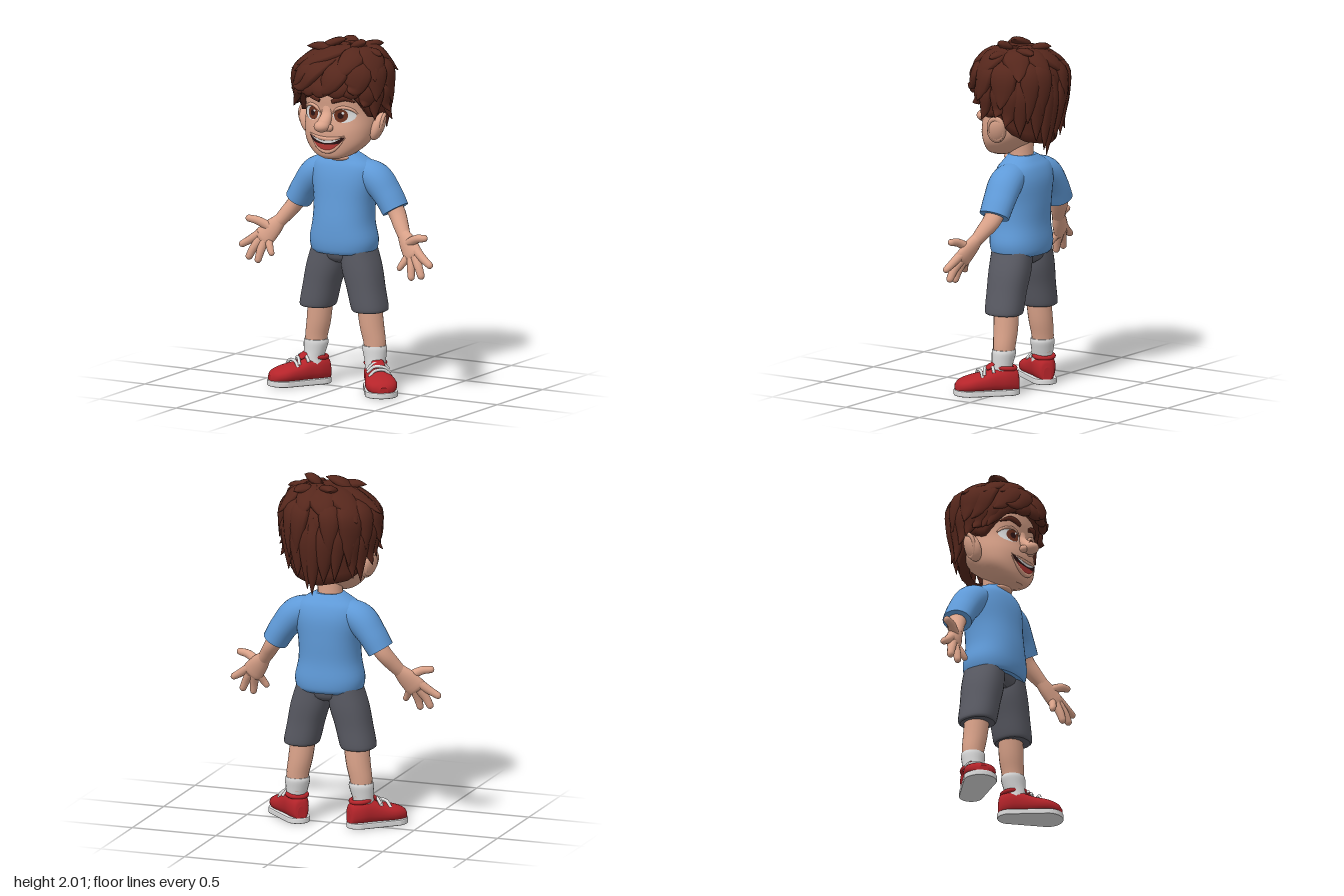
import * as THREE from 'three';

const V = (x, y, z) => new THREE.Vector3(x, y, z);
const mat = (name, color) => Object.assign(new THREE.MeshStandardMaterial({ color }), { name });
const M = {
  skin: mat('skin', 0xdba38a), hair: mat('hair', 0x56271c), shirt: mat('shirt blue', 0x5f9ad8),
  shorts: mat('shorts grey', 0x595a63), red: mat('shoe red', 0xb5242a), white: mat('white', 0xdedede),
  iris: mat('iris brown', 0x6b3220), dark: mat('dark', 0x2a1212), tongue: mat('tongue', 0xb83a36),
};
const X = V(1, 0, 0), Y = V(0, 1, 0), Z = V(0, 0, 1);
let seed = 7;
const rnd = (a, b) => a + (b - a) * ((seed = (seed * 16807) % 2147483647) / 2147483647);

// Skin over rows of points; each row is a closed loop
function grid(rows, caps) {
  const n = rows[0].length, pos = [], idx = [];
  const put = (v) => pos.push(v.x, v.y, v.z) / 3 - 1;
  rows.forEach((r) => r.forEach(put));
  for (let j = 0; j < rows.length - 1; j++) for (let i = 0; i < n; i++) {
    const a = j * n + i, b = j * n + (i + 1) % n;
    idx.push(a, a + n, b, b, a + n, b + n);
  }
  if (caps) [rows[0], rows[rows.length - 1]].forEach((row, end) => {
    const mid = row.reduce((s, v) => s.add(v), V(0, 0, 0)).divideScalar(n);
    const c = put(mid), f = row.map(put);
    f.forEach((a, i) => (end ? idx.push(c, f[(i + 1) % n], a) : idx.push(c, a, f[(i + 1) % n])));
  });
  const g = new THREE.BufferGeometry();
  g.setAttribute('position', new THREE.Float32BufferAttribute(pos, 3));
  g.setIndex(idx);
  g.computeVertexNormals();
  return g;
}

// Smooth interpolation of [x, y, z, radiusA, radiusB] stations
function stations(pts) {
  const c = new THREE.CatmullRomCurve3(pts.map((p) => V(p[0], p[1], p[2])), false, 'catmullrom');
  const r = new THREE.CatmullRomCurve3(pts.map((p) => V(p[3], p[4] ?? p[3], 0)), false, 'catmullrom');
  return (u) => ({ c: c.getPoint(u), r: r.getPoint(u), t: c.getTangent(u) });
}

// Elliptical cross-sections swept along stations, square to the path or to a fixed axis
function loft(pts, { axis, ref = Z, seg = 18, p = 2, round = false, steps = 4 } = {}) {
  const at = stations(pts), N = (pts.length - 1) * steps, rows = [];
  const pw = (v) => Math.sign(v) * Math.abs(v) ** (2 / p);
  const ring = ({ c, r, t }, k = 1, ahead = 0) => {
    const dir = axis ?? t;
    const side = dir.clone().cross(ref).normalize(), up = side.clone().cross(dir).normalize();
    rows.push(Array.from({ length: seg }, (_, i) => {
      const a = i / seg * Math.PI * 2;
      return c.clone().addScaledVector(dir, ahead).addScaledVector(side, pw(Math.cos(a)) * r.x * k)
        .addScaledVector(up, pw(Math.sin(a)) * r.y * k);
    }));
  };
  for (let i = 0; i <= N; i++) ring(at(i / N));
  if (round) for (const a of [0.5, 1, 1.4]) ring(at(1), Math.cos(a), Math.sin(a) * at(1).r.y);
  return grid(rows, true);
}

// Head cross-sections and the depth of the face at a point
const HEAD = [[0, 1.333, 0.125, 0.05, 0.045], [0, 1.358, 0.1, 0.115, 0.09], [0, 1.42, 0.06, 0.18, 0.14],
  [0, 1.5, 0.02, 0.206, 0.185], [0, 1.6, 0, 0.207, 0.19], [0, 1.7, 0, 0.21, 0.2], [0, 1.8, 0, 0.195, 0.19], [0, 1.88, 0, 0.13, 0.13]];
const headAt = stations(HEAD);
function faceZ(x, y) {
  let lo = 0, hi = 1;
  for (let i = 0; i < 24; i++) { const m = (lo + hi) / 2; if (headAt(m).c.y < y) lo = m; else hi = m; }
  const { c, r } = headAt(lo);
  return c.z + r.y * Math.max(0, 1 - Math.abs(x / r.x) ** 2.3) ** (1 / 2.3);
}

// Thin plate lying on the face between a lower and an upper edge
function plate(cx, hw, low, high, off) {
  const g = new THREE.PlaneGeometry(2, 1, 20, 6), a = g.attributes.position;
  for (let i = 0; i < a.count; i++) {
    const u = a.getX(i) * 0.99, v = a.getY(i) + 0.5;
    const x = cx + u * hw, y = low(u) + (high(u) - low(u)) * v;
    a.setXYZ(i, x, y, faceZ(x, y) + off);
  }
  g.computeVertexNormals();
  return g;
}
const oval = (cx, cy, rx, ry, off) =>
  plate(cx, rx, (u) => cy - ry * Math.sqrt(1 - u * u), (u) => cy + ry * Math.sqrt(1 - u * u), off);

// Hair volume: angle f from the front, t from crown to hairline, k pushes outward
const HAIRLINE = [[0, 1.745], [35, 1.72], [52, 1.65], [70, 1.57], [88, 1.6], [110, 1.5], [135, 1.45], [181, 1.42]];
function hairPoint(f, t, k = 1) {
  f = Math.atan2(Math.sin(f), Math.cos(f));
  const d = Math.abs(f) * 180 / Math.PI, i = HAIRLINE.findIndex((h) => h[0] > d);
  const [a, b] = [HAIRLINE[i - 1], HAIRLINE[i]];
  const end = a[1] + (b[1] - a[1]) * (d - a[0]) / (b[0] - a[0]);
  let r = 1, y, shift = 0;
  if (t < 0.6) {
    const q = t / 0.6 * Math.PI / 2;
    r = Math.sin(q) ** (2 / 2.15);
    y = 1.765 + 0.195 * Math.cos(q) ** (2 / 2.15);
    shift = 0.11 * (1 - r);
  } else {
    y = 1.765 + (end - 1.765) * (t - 0.6) / 0.4;
    r = 1 - 0.2 * (1.765 - y) / 0.34;
  }
  return V(Math.sin(f) * 0.268 * r * k + shift, y, Math.cos(f) * 0.247 * r * k);
}

export function createModel() {
  const model = new THREE.Group();
  const add = (name, g, m, parent = model) => {
    const mesh = new THREE.Mesh(g, m);
    mesh.name = name;
    parent.add(mesh);
    return mesh;
  };
  const group = (name) => { const g = new THREE.Group(); g.name = name; model.add(g); return g; };
  const ball = (name, m, c, r, parent) => {
    const b = add(name, new THREE.SphereGeometry(1, 24, 16), m, parent);
    b.position.set(...c); b.scale.set(...r);
    return b;
  };

  // Head, neck and nose
  const head = group('head');
  add('skull', loft(HEAD, { axis: Y, seg: 44, p: 2.3, steps: 5 }), M.skin, head);
  add('neck', loft([[0, 1.27, -0.01, 0.085, 0.072], [0, 1.34, -0.008, 0.072, 0.066], [0, 1.45, 0, 0.08, 0.075]], { axis: Y }), M.skin, head);
  ball('neckline', M.skin, [0, 1.325, 0.045], [0.068, 0.022, 0.05], head);
  ball('noseTip', M.skin, [0, 1.532, 0.243], [0.044, 0.034, 0.047], head);
  add('noseBridge', loft([[0, 1.65, 0.17, 0.035, 0.02], [0, 1.59, 0.185, 0.034, 0.025], [0, 1.54, 0.225, 0.04, 0.036]]), M.skin, head);

  // Mouth
  const top = (u) => 1.45 + 0.022 * u * u, low = (u) => 1.47 - 0.085 * (1 - u * u);
  add('mouth', plate(0.005, 0.112, low, top, 0.005), M.dark, head);
  add('tongue', plate(0.005, 0.085, (u) => low(u * 0.76) + 0.004, (u) => 1.423 + 0.012 * u * u, 0.009), M.tongue, head);
  add('teeth', plate(0.005, 0.098, (u) => top(u * 0.87) - 0.019 * (1 - u * u), (u) => top(u * 0.87) - 0.002, 0.009), M.white, head);
  const lip = (name, edge, r) => add(name, loft([-1, -0.5, 0, 0.5, 1].map((u) => {
    const x = 0.005 + u * 0.112, y = edge(u);
    return [x, y, faceZ(x, y) + 0.002, r * (1.15 - u * u)];
  }), { seg: 10 }), M.skin, head);
  lip('lowerLip', (u) => low(u) - 0.004, 0.011);
  lip('upperLip', (u) => top(u) + 0.005, 0.01);

  for (const s of [1, -1]) {
    const side = s > 0 ? 'left' : 'right';
    // Eyes, brows, nostrils and ears
    add(side + 'EyeWhite', oval(s * 0.104, 1.592, 0.06, 0.04, 0.004), M.white, head);
    add(side + 'Iris', oval(s * 0.09, 1.592, 0.038, 0.037, 0.007), M.iris, head);
    add(side + 'Pupil', oval(s * 0.09, 1.592, 0.017, 0.018, 0.01), M.dark, head);
    add(side + 'EyeGlint', oval(s * 0.09 + 0.014, 1.607, 0.007, 0.007, 0.013), M.white, head);
    const onFace = (list, off) => list.map(([x, y, ...r]) => [s * x, y, faceZ(x, y) + off, ...r]);
    add(side + 'Eyelid', loft(onFace([[0.04, 1.6, 0.004, 0.005], [0.065, 1.627, 0.008, 0.011], [0.104, 1.638, 0.009, 0.012], [0.145, 1.625, 0.008, 0.011], [0.166, 1.6, 0.004, 0.005]], 0.002), { seg: 10 }), M.skin, head);
    add(side + 'Brow', loft(onFace([[0.04, 1.668, 0.011, 0.009], [0.075, 1.683, 0.016, 0.012], [0.115, 1.69, 0.014, 0.011], [0.16, 1.668, 0.004, 0.004]], 0.004), { seg: 10 }), M.hair, head);
    ball(side + 'Nostril', M.skin, [s * 0.034, 1.522, 0.22], [0.023, 0.021, 0.027], head);
    const ear = ball(side + 'Ear', M.skin, [s * 0.228, 1.515, 0.006], [0.036, 0.084, 0.056], head);
    ear.rotation.set(-0.15, s * 0.35, -s * 0.3);
    const rim = add(side + 'EarRim', new THREE.TorusGeometry(0.045, 0.01, 8, 24), M.skin, head);
    rim.position.set(s * 0.246, 1.522, 0);
    rim.scale.set(0.9, 1.4, 1);
    rim.rotation.set(0, s * 1.92, -s * 0.3, 'ZYX');

    // Sleeve and arm
    add(side + 'Sleeve', loft([[s * 0.07, 1.258, -0.025, 0.062, 0.08], [s * 0.185, 1.212, -0.032, 0.088, 0.098],
      [s * 0.262, 1.125, -0.038, 0.08, 0.095], [s * 0.315, 1.04, -0.038, 0.074, 0.09]], { steps: 5, seg: 24 }), M.shirt);
    add(side + 'Arm', loft([[s * 0.27, 1.11, -0.04, 0.05, 0.058], [s * 0.325, 1.025, -0.035, 0.046, 0.055],
      [s * 0.37, 0.96, -0.005, 0.042, 0.045], [s * 0.41, 0.905, 0.025, 0.036, 0.034]]), M.skin);
    // Hand with open fingers
    const hand = group(side + 'Hand');
    add('palm', loft([[s * 0.4, 0.92, 0.018, 0.036, 0.034], [s * 0.44, 0.872, 0.038, 0.054, 0.035], [s * 0.487, 0.815, 0.06, 0.063, 0.031]], { round: true }), M.skin, hand);
    [['thumb', [0.445, 0.872, 0.045], [0.515, 0.91, 0.07], [0.57, 0.92, 0.078], 0.024],
      ['indexFinger', [0.51, 0.838, 0.06], [0.563, 0.8, 0.075], [0.61, 0.771, 0.085], 0.023],
      ['middleFinger', [0.505, 0.805, 0.065], [0.537, 0.755, 0.085], [0.56, 0.707, 0.095], 0.024],
      ['ringFinger', [0.48, 0.795, 0.065], [0.491, 0.74, 0.088], [0.499, 0.694, 0.1], 0.023],
      ['littleFinger', [0.452, 0.8, 0.06], [0.434, 0.765, 0.08], [0.418, 0.738, 0.09], 0.02],
    ].forEach(([name, a, b, c, r]) => add(name, loft([[...a, r * 1.15], [...b, r], [...c, r * 0.85]]
      .map(([x, ...q]) => [s * x, ...q]), { round: true, seg: 12 }), M.skin, hand));

    // Shorts leg, bare leg and sock
    const col = (list) => list.map(([x, ...q]) => [s * x, ...q]);
    add(side + 'ShortsLeg', loft(col([[0.168, 0.452, -0.005, 0.088, 0.098], [0.167, 0.472, -0.005, 0.1, 0.108], [0.143, 0.58, -0.005, 0.103, 0.112],
      [0.114, 0.7, -0.008, 0.108, 0.12], [0.092, 0.82, -0.01, 0.09, 0.12]]), { axis: Y, seg: 28, p: 2.3 }), M.shorts);
    add(side + 'Leg', loft(col([[0.195, 0.18, -0.018, 0.056, 0.056], [0.19, 0.27, -0.02, 0.064, 0.062], [0.172, 0.37, -0.018, 0.07, 0.069], [0.155, 0.52, -0.012, 0.073, 0.07]]), { axis: Y }), M.skin);
    add(side + 'Sock', loft(col([[0.198, 0.09, -0.01, 0.06, 0.062], [0.2, 0.15, -0.01, 0.058, 0.06], [0.196, 0.19, -0.014, 0.064, 0.062],
      [0.191, 0.235, -0.018, 0.071, 0.067], [0.19, 0.256, -0.018, 0.068, 0.065]]), { axis: Y }), M.white);

    // Shoe: sole, upper, collar and laces, toes turned outward
    const shoe = group(side + 'Shoe');
    shoe.position.set(s * 0.182, 0, -0.038);
    shoe.rotation.y = s * 0.7;
    const foot = new THREE.Shape(), R = 0.088, r = 0.062;
    foot.absarc(0, -0.21, R, Math.PI * 1.03, Math.PI * 1.97, false);
    foot.absarc(0, 0, r, 0, Math.PI, false);
    foot.closePath();
    const sole = new THREE.ExtrudeGeometry(foot, { depth: 0.02, bevelSize: 0.007, bevelThickness: 0.007, bevelSegments: 2, curveSegments: 18 });
    sole.rotateX(-Math.PI / 2).translate(0, 0.007, 0);
    add('sole', sole, M.white, shoe);
    const up = [[-0.064, 0.1, 0.022], [-0.052, 0.14, 0.043], [0, 0.165, 0.064], [0.06, 0.16, 0.07], [0.13, 0.132, 0.08],
      [0.21, 0.112, 0.09], [0.27, 0.09, 0.068], [0.297, 0.065, 0.025]];
    add('upper', loft(up.map(([z, h, w]) => [0, (h + 0.015) / 2, z, w, (h - 0.015) / 2]), { axis: Z, ref: Y, seg: 28, p: 2.3 }), M.red, shoe);
    const collar = add('collar', new THREE.TorusGeometry(0.054, 0.013, 10, 28), M.red, shoe);
    collar.position.set(0, 0.155, 0.012);
    collar.rotation.x = Math.PI / 2 - 0.1;
    add('tongue', loft([[0, 0.148, 0.12, 0.035, 0.012], [0, 0.162, 0.095, 0.038, 0.014], [0, 0.182, 0.075, 0.03, 0.01]], { ref: V(0, 0.6, 0.8) }), M.red, shoe);
    [[0.095, 0.158], [0.127, 0.145], [0.159, 0.132]].forEach(([z, h], i) => {
      const tilt = i % 2 ? -0.012 : 0.012;
      const path = new THREE.CatmullRomCurve3([V(-0.064, h - 0.028, z + tilt), V(-0.03, h + 0.004, z + tilt / 2), V(0.03, h + 0.004, z - tilt / 2), V(0.064, h - 0.028, z - tilt)]);
      add('lace', new THREE.TubeGeometry(path, 14, 0.009, 8), M.white, shoe);
    });
  }

  // Shirt body and seat of the shorts
  add('shirt', loft([[0, 0.78, -0.005, 0.178, 0.14], [0, 0.803, -0.007, 0.192, 0.153], [0, 0.86, -0.006, 0.198, 0.158], [0, 0.96, -0.004, 0.178, 0.152],
    [0, 1.08, -0.014, 0.178, 0.147], [0, 1.2, -0.022, 0.198, 0.139], [0, 1.275, -0.022, 0.19, 0.118], [0, 1.315, -0.018, 0.135, 0.092], [0, 1.343, -0.012, 0.083, 0.074]],
  { axis: Y, seg: 36, p: 2.25 }), M.shirt);
  add('shortsSeat', loft([[0, 0.725, -0.008, 0.04, 0.08], [0, 0.755, -0.01, 0.15, 0.112], [0, 0.83, -0.01, 0.18, 0.126]], { axis: Y, seg: 28 }), M.shorts);

  // Hair base
  const hair = group('hair'), rows = [];
  for (let j = 0; j <= 17; j++)
    rows.push(Array.from({ length: 48 }, (_, i) => hairPoint(i / 48 * Math.PI * 2, Math.min(j / 16, 1), j > 16 ? 0.7 : 1)));
  add('hairBase', grid(rows), M.hair, hair);

  // Layers of pointed locks swirling from the crown; the fringe sweeps to the right
  const lock = (pts, w, d, ref) => add('lock', loft(pts.map((q, i) =>
    [q.x, q.y, q.z, w * [0.5, 1, 0.72, 0.03][i], d * [0.3, 1, 0.85, 0.06][i]]), { ref, seg: 10, steps: 4 }), M.hair, hair);
  [[9, 0.06, 0.55, 0.075, 0.026, 1.17], [13, 0.26, 0.84, 0.072, 0.03, 1.25], [22, 0.5, 1.03, 0.052, 0.027, 1.22]].forEach(([n, t0, t1, w, d, out]) => {
    for (let i = 0; i < n; i++) {
      const f = (i + rnd(-0.25, 0.25)) / n * Math.PI * 2, front = Math.max(0, Math.cos(f));
      const sweep = -0.5 * front - rnd(0, 0.15), wide = Math.abs(Math.sin(f + sweep));
      const tip = t1 + rnd(-0.06, 0.05), k = 1.02 + (out - 1.02) * wide * rnd(0.45, 1.05) + rnd(0, 0.05);
      const pts = [0, 0.35, 0.7, 1].map((u, j) => hairPoint(f + sweep * u, t0 + (tip - t0) * u, [0.97, 1.01, 1.04, k][j]));
      pts[3].y += wide * rnd(0, 0.025);
      lock(pts, w * rnd(0.85, 1.15), d, pts[1].clone().sub(V(0.03, 1.66, 0)).normalize());
    }
  });
  // Loose tufts rising from the crown: start, end, half-width
  [[[-0.13, 1.92, 0.05], [0.035, 1.998, 0.02], 0.06], [[0.06, 1.935, 0.02], [0.17, 1.995, 0.04], 0.04], [[0.13, 1.92, 0], [0.265, 1.925, 0.03], 0.045],
    [[0.08, 1.93, -0.03], [0.15, 1.95, -0.19], 0.05], [[0, 1.93, -0.05], [-0.06, 1.965, -0.17], 0.055], [[0, 1.93, 0.06], [-0.18, 1.95, 0.1], 0.055]].forEach(([a, b, w]) => {
    const p = V(...a), q = V(...b), mid = (u, lift) => p.clone().lerp(q, u).add(V(0, lift, 0));
    lock([p, mid(0.35, 0.012), mid(0.72, 0.01), q], w, 0.024, Y.clone().addScaledVector(X, -0.2));
  });
  return model;
}
